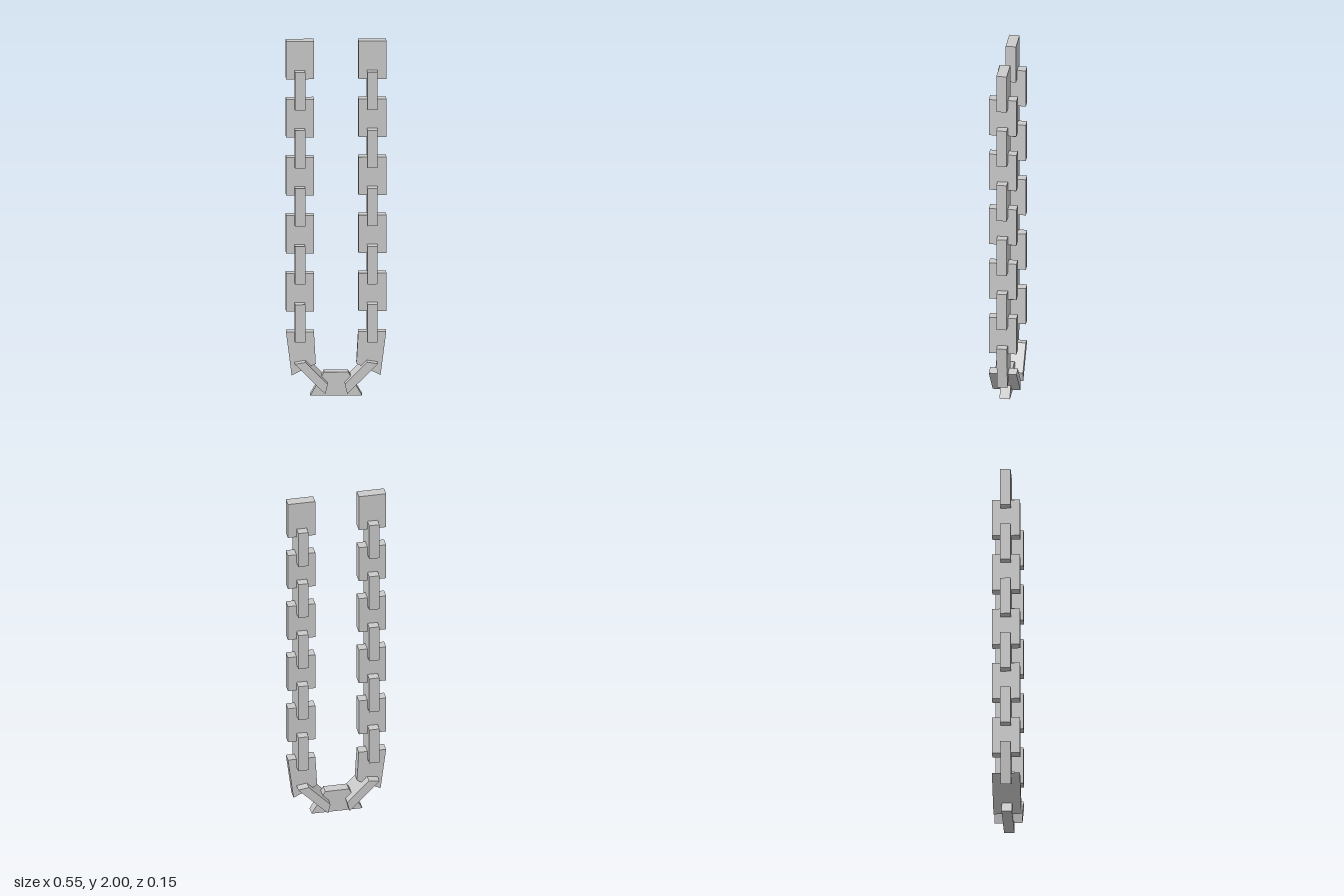
import * as THREE from 'three';

const WIDE = 0.153, THIN = 0.057, LENGTH = 0.214, PITCH = 0.1638, X = 0.198;

export function createModel() {
  const chain = new THREE.Group();
  chain.name = 'hangingChain';
  const material = new THREE.MeshStandardMaterial({ color: 0xcccccc, flatShading: true });

  function add(name, geometry, x = 0, y = 0) {
    const mesh = new THREE.Mesh(geometry, material);
    mesh.name = name;
    mesh.position.set(x, y, 0);
    chain.add(mesh);
  }

  // Link cut from a front outline, centred in depth
  function plate(points, depth) {
    const shape = new THREE.Shape(points.map(([x, y]) => new THREE.Vector2(x, y)));
    return new THREE.ExtrudeGeometry(shape, { depth, bevelEnabled: false }).translate(0, 0, -depth / 2);
  }

  for (const side of [-1, 1]) {
    const label = side > 0 ? 'left' : 'right';
    const mirror = (points) => points.map(([x, y]) => [side * x, y]);

    // Straight run: links alternate a quarter turn
    for (let i = 0; i < 10; i++) {
      const flat = i % 2 === 0;
      const box = new THREE.BoxGeometry(flat ? WIDE : THIN, LENGTH, flat ? THIN : WIDE);
      add(`${label}${flat ? 'Flat' : 'Turned'}Link${i + 1}`, box, side * X, 2 - LENGTH / 2 - i * PITCH);
    }

    // Skewed link where the chain starts to bend
    add(`${label}BendLink`, plate(mirror([[0.274, 0.36], [0.121, 0.36], [0.111, 0.18], [0.243, 0.115]]), THIN));

    // Slanted link leading to the bottom
    add(`${label}SlantedLink`, plate(mirror([[0.227, 0.19], [0.168, 0.2], [0.047, 0.075], [0.06, 0.02]]), WIDE));
  }

  // Flared link at the bottom of the loop
  add('bottomLink', plate([[-0.142, 0], [0.142, 0], [0.066, 0.132], [-0.066, 0.132]], THIN));

  return chain;
}
